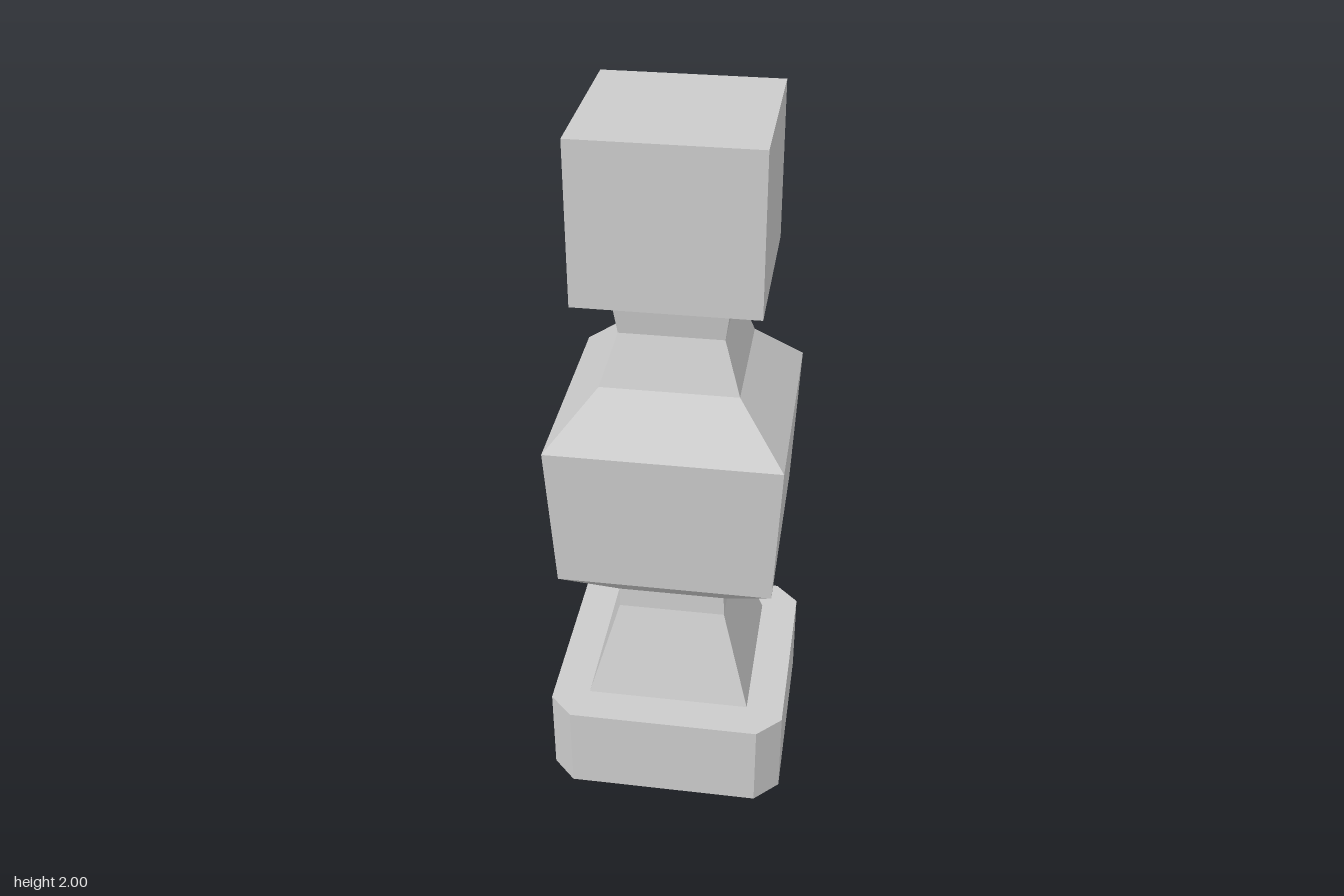
import * as THREE from 'three';

const material = new THREE.MeshStandardMaterial({ color: 0xcccccc, flatShading: true });

// Square turned section from [halfWidth, y] points, listed bottom to top
function squareSection(name, profile) {
  const points = profile.map(([half, y]) => new THREE.Vector2(half * Math.SQRT2, y));
  const geometry = new THREE.LatheGeometry(points, 4, Math.PI / 4).toNonIndexed();
  geometry.computeVertexNormals();
  const mesh = new THREE.Mesh(geometry, material);
  mesh.name = name;
  return mesh;
}

// Square plinth with its four upright corners cut off
function chamferedPlinth(half, flat, height) {
  const corners = [];
  for (let i = 0; i < 4; i++) {
    const c = Math.round(Math.cos(i * Math.PI / 2));
    const s = Math.round(Math.sin(i * Math.PI / 2));
    for (const t of [-flat, flat]) corners.push(new THREE.Vector2(c * half - s * t, s * half + c * t));
  }
  const geometry = new THREE.ExtrudeGeometry(new THREE.Shape(corners), { depth: height, bevelEnabled: false });
  geometry.rotateX(-Math.PI / 2);
  const mesh = new THREE.Mesh(geometry, material);
  mesh.name = 'plinth';
  return mesh;
}

export function createModel() {
  const model = new THREE.Group();
  model.name = 'baluster';
  model.add(
    chamferedPlinth(0.342, 0.274, 0.265),
    // Flared foot narrowing to the lower neck
    squareSection('foot', [[0.235, 0.265], [0.153, 0.54], [0.151, 0.6]]),
    // Wide central block with sloping underside and shoulders
    squareSection('body', [[0.151, 0.6], [0.297, 0.735], [0.317, 1.16], [0.186, 1.3], [0.14, 1.44]]),
    // Upper neck opening out towards the head
    squareSection('neck', [[0.14, 1.44], [0.154, 1.54]]),
    // Square head with a shallow sloping underside and a flat top
    squareSection('head', [[0.154, 1.54], [0.243, 1.56], [0.243, 2], [0, 2]]),
  );
  return model;
}
